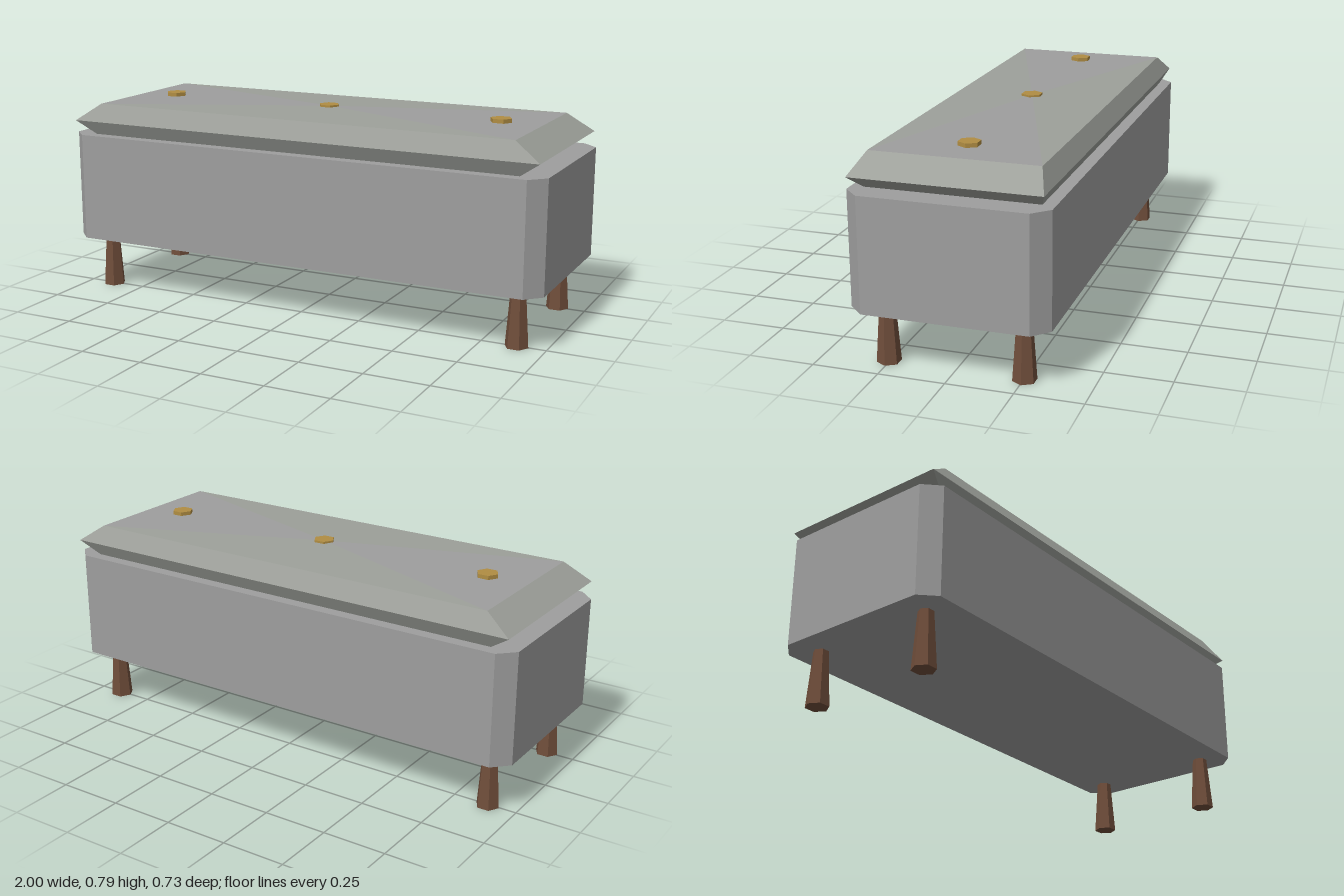
import * as THREE from 'three';

const mat = (name, color) => {
  const m = new THREE.MeshStandardMaterial({ color, flatShading: true });
  m.name = name;
  return m;
};

export function createModel() {
  const grey = mat('grey fabric', 0x9e9e9e);
  const sage = mat('sage grey fabric', 0x9da09a);
  const wood = mat('brown wood', 0x704e3b);
  const brass = mat('brass', 0xb08d42);

  const model = new THREE.Group();
  model.name = 'storageBench';
  const add = (name, geometry, material, x = 0, y = 0, z = 0) => {
    const mesh = new THREE.Mesh(geometry, material);
    mesh.name = name;
    mesh.position.set(x, y, z);
    model.add(mesh);
    return mesh;
  };

  // Box body with chamfered upright corners
  const X = 1, Z = 0.367, C = 0.06;
  const outline = new THREE.Shape([
    [X - C, -Z], [X, -Z + C], [X, Z - C], [X - C, Z],
    [-X + C, Z], [-X, Z - C], [-X, -Z + C], [-X + C, -Z],
  ].map(([x, z]) => new THREE.Vector2(x, z)));
  const bodyGeo = new THREE.ExtrudeGeometry(outline, { depth: 0.432, bevelEnabled: false });
  bodyGeo.rotateX(-Math.PI / 2);
  add('body', bodyGeo, grey, 0, 0.218, 0);

  // Cushion: rectangular rings with a very shallow pyramid on top
  const ring = (x, y, z) => [[x, y, z], [x, y, -z], [-x, y, -z], [-x, y, z]];
  const rings = [ring(0.9, 0.65, 0.32), ring(0.98, 0.705, 0.35), ring(0.877, 0.775, 0.313)];
  const apex = [0, 0.785, 0];
  const sides = [], endPanels = [];
  for (let i = 0; i < 4; i++) {
    const j = (i + 1) % 4;
    for (let r = 0; r < 2; r++) {
      const a = rings[r][i], b = rings[r][j], c = rings[r + 1][j], d = rings[r + 1][i];
      sides.push(a, b, c, a, c, d);
    }
    (i % 2 ? sides : endPanels).push(rings[2][i], rings[2][j], apex);
  }
  const cushionGeo = new THREE.BufferGeometry();
  cushionGeo.setAttribute('position',
    new THREE.Float32BufferAttribute([...sides, ...endPanels].flat(), 3));
  cushionGeo.addGroup(0, sides.length, 0);
  cushionGeo.addGroup(sides.length, endPanels.length, 1);
  cushionGeo.computeVertexNormals();
  add('cushion', cushionGeo, [sage, grey]);

  // Six-sided tuft buttons, corners pointing along x
  const buttonGeo = new THREE.CylinderGeometry(0.042, 0.042, 0.02, 6).rotateY(Math.PI / 2);
  for (const x of [-0.717, 0, 0.717]) add('button', buttonGeo, brass, x, 0.782, 0);

  // Tapered six-sided legs
  const legGeo = new THREE.CylinderGeometry(0.029, 0.045, 0.22, 6).rotateY(Math.PI / 2);
  for (const x of [-0.888, 0.888])
    for (const z of [-0.254, 0.254]) add('leg', legGeo, wood, x, 0.11, z);

  return model;
}
